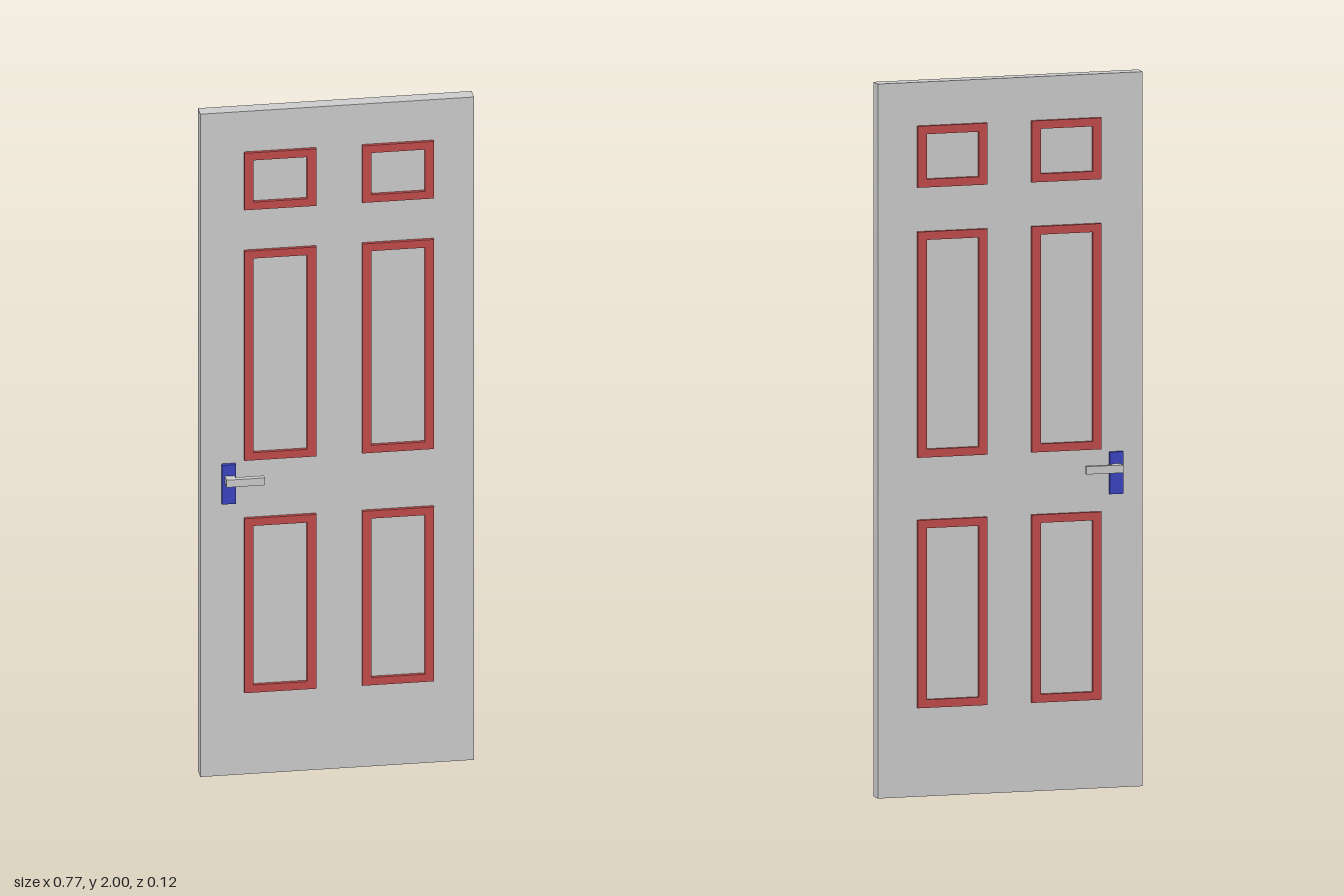
import * as THREE from 'three';

const grey = new THREE.MeshStandardMaterial({ color: 0xcccccc });
const red = new THREE.MeshStandardMaterial({ color: 0xc04a4a });
const blue = new THREE.MeshStandardMaterial({ color: 0x3a45c0 });

const FACE = 0.021; // half thickness of the slab
const MID_Z = -0.0015; // depth of the slab's middle

function rectangle(Type, x0, x1, y0, y1) {
  const r = new Type();
  r.moveTo(x0, y0);
  r.lineTo(x1, y0);
  r.lineTo(x1, y1);
  r.lineTo(x0, y1);
  r.closePath();
  return r;
}

function mesh(name, geometry, material) {
  const m = new THREE.Mesh(geometry, material);
  m.name = name;
  return m;
}

// Rectangular moulding standing proud of one face
function panelMoulding(x0, x1, y0, y1, side) {
  const shape = rectangle(THREE.Shape, x0, x1, y0, y1);
  shape.holes.push(rectangle(THREE.Path, x0 + 0.025, x1 - 0.026, y0 + 0.023, y1 - 0.023));
  const depth = 0.0103;
  const m = mesh('panelMoulding', new THREE.ExtrudeGeometry(shape, { depth, bevelEnabled: false }), red);
  m.position.z = side > 0 ? FACE : -FACE - depth;
  return m;
}

// Backplate with an L-shaped lever on one face
function handle(side) {
  const g = new THREE.Group();
  g.name = side > 0 ? 'frontHandle' : 'backHandle';

  const plate = mesh('backplate', new THREE.BoxGeometry(0.039, 0.118, 0.0118), blue);
  plate.position.set(-0.305, 0.882, side * (FACE + 0.0059));

  // L outline in plan: spindle leaving the door, grip turning towards the middle
  const outline = [[-0.316, 0.021], [-0.289, 0.021], [-0.289, 0.0445], [-0.209, 0.0445], [-0.209, 0.061], [-0.316, 0.061]];
  const shape = new THREE.Shape(outline.map(([x, z]) => new THREE.Vector2(x, -side * z)));
  const geo = new THREE.ExtrudeGeometry(shape, { depth: 0.022, bevelEnabled: false });
  geo.rotateX(-Math.PI / 2);
  const lever = mesh('lever', geo, grey);
  lever.position.y = 0.886;

  g.add(plate, lever);
  return g;
}

export function createModel() {
  const door = new THREE.Group();
  door.name = 'door';

  const slab = mesh('slab', new THREE.BoxGeometry(0.767, 2, FACE * 2), grey);
  slab.position.y = 1;
  door.add(slab);

  // Two columns by three rows of panels, on both faces
  const columns = [[-0.261, -0.06], [0.069, 0.27]];
  const rows = [[0.249, 0.775], [0.95, 1.582], [1.706, 1.878]];
  for (const side of [1, -1]) {
    for (const [x0, x1] of columns) {
      for (const [y0, y1] of rows) door.add(panelMoulding(x0, x1, y0, y1, side));
    }
    door.add(handle(side));
  }

  door.position.z = MID_Z;
  const model = new THREE.Group();
  model.add(door);
  return model;
}
